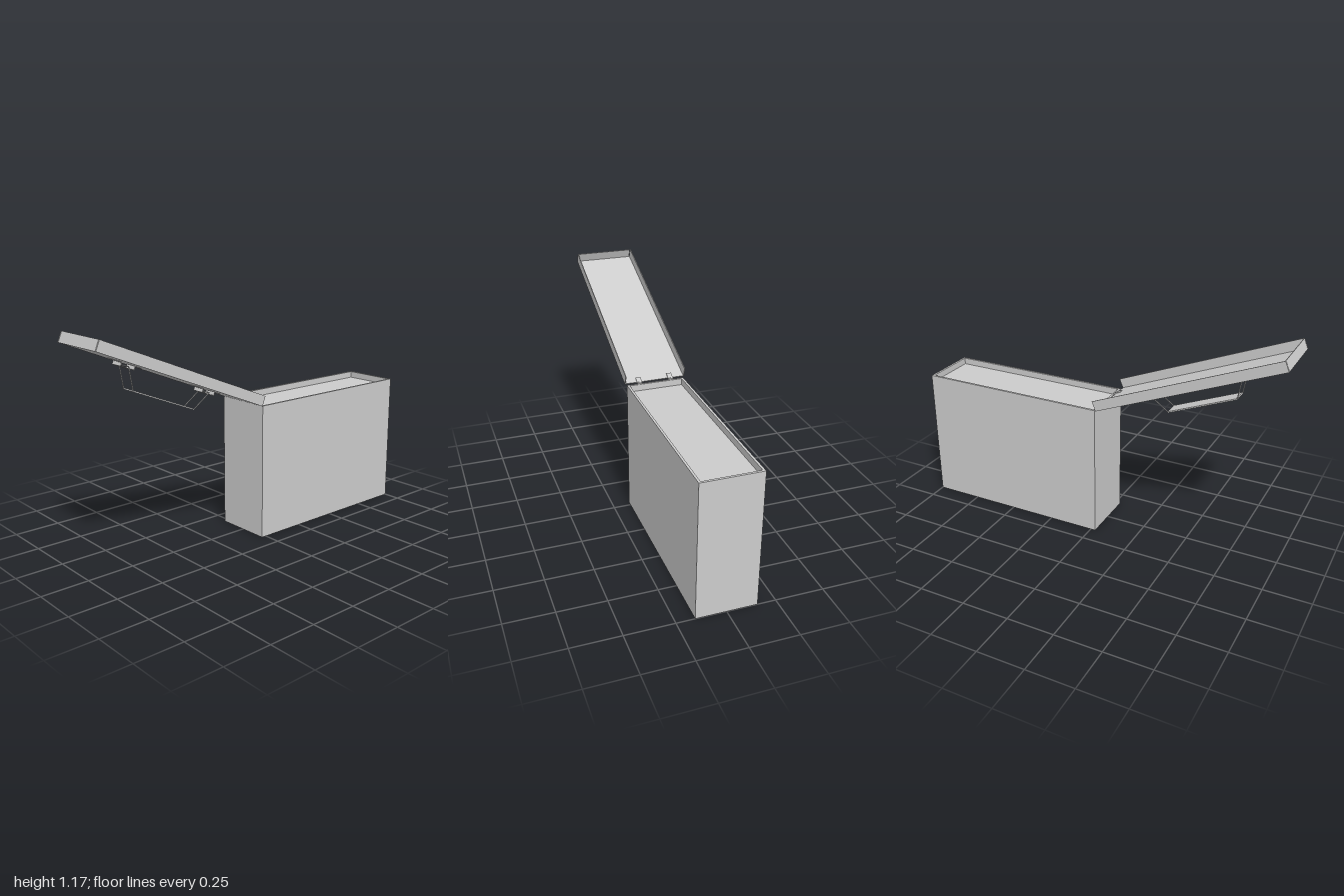
import * as THREE from 'three';

const grey = new THREE.MeshStandardMaterial({ color: 0xcccccc, side: THREE.DoubleSide });

function add(parent, name, geometry, x = 0, y = 0, z = 0) {
  const mesh = new THREE.Mesh(geometry, grey);
  mesh.name = name;
  mesh.position.set(x, y, z);
  parent.add(mesh);
  return mesh;
}

const box = (w, h, d) => new THREE.BoxGeometry(w, h, d);

// Closed rectangle centred on the origin
function rectangle(Type, w, d) {
  return new Type([[-w, -d], [w, -d], [w, d], [-w, d]].map(([x, y]) => new THREE.Vector2(x / 2, y / 2)));
}

// Thin round rod between two points
function rod(parent, name, a, b, radius) {
  const path = new THREE.LineCurve3(new THREE.Vector3(...a), new THREE.Vector3(...b));
  return add(parent, name, new THREE.TubeGeometry(path, 1, radius, 8));
}

function makeCan() {
  const can = new THREE.Group();
  can.name = 'can';
  const length = 1.027, depth = 0.312, height = 0.725, wall = 0.012;
  can.position.x = 1 - length / 2;

  // Upright walls as one extruded frame
  const outline = rectangle(THREE.Shape, length, depth);
  outline.holes.push(rectangle(THREE.Path, length - 2 * wall, depth - 2 * wall));
  const walls = new THREE.ExtrudeGeometry(outline, { depth: height, bevelEnabled: false });
  walls.rotateX(-Math.PI / 2);
  add(can, 'walls', walls);

  // Bottom and the recessed top panel
  const inside = [length - 2 * wall, 0.01, depth - 2 * wall];
  add(can, 'bottom', box(...inside), 0, 0.005, 0);
  add(can, 'recessedTop', box(...inside), 0, height - 0.04, 0);
  return can;
}

function makeHandle() {
  const handle = new THREE.Group();
  handle.name = 'handle';
  const gripY = -0.115, halfWidth = 0.04;
  const ends = [[-0.772, -0.709], [-0.263, -0.328]]; // clip x, grip end x

  for (const [clipX, gripX] of ends) {
    // Hat-shaped strap that holds the pivot rod against the lid
    add(handle, 'clipRaisedPlate', box(0.078, 0.003, 0.07), clipX, -0.021, 0);
    for (const s of [-1, 1]) {
      add(handle, 'clipFlange', box(0.036, 0.004, 0.07), clipX + s * 0.057, -0.003, 0);
      add(handle, 'clipStep', box(0.003, 0.02, 0.07), clipX + s * 0.039, -0.012, 0);
      rod(handle, 'handleLeg', [clipX, -0.013, s * halfWidth], [gripX, gripY, s * halfWidth], 0.003);
    }
    rod(handle, 'pivotRod', [clipX, -0.013, -halfWidth], [clipX, -0.013, halfWidth], 0.003);
  }

  // Flat grip
  const [a, b] = ends.map((e) => e[1]);
  add(handle, 'grip', box(b - a, 0.007, 2 * halfWidth + 0.006), (a + b) / 2, gripY, 0);
  return handle;
}

function makeLid() {
  const lid = new THREE.Group();
  lid.name = 'lid';
  // Swung open about its hinge edge, with its inside facing up
  lid.position.set(-0.037, 0.727, 0);
  lid.rotation.z = -THREE.MathUtils.degToRad(22.3);
  const length = 1.04, depth = 0.33, lip = 0.055, sheet = 0.004;

  add(lid, 'lidPanel', box(length, sheet, depth), -length / 2, sheet / 2, 0);
  for (const s of [-1, 1]) {
    add(lid, 'sideLip', box(length, lip, sheet), -length / 2, lip / 2, s * (depth - sheet) / 2);
  }
  add(lid, 'endLip', box(sheet, lip, depth - 0.014), -length + sheet / 2, lip / 2, 0);
  lid.add(makeHandle());
  return lid;
}

// Two small hinges between lid and can
function makeHinge(z) {
  const hinge = new THREE.Group();
  hinge.name = 'hinge';
  hinge.position.set(-0.031, 0.73, z);
  const barrel = add(hinge, 'hingeBarrel', new THREE.CylinderGeometry(0.005, 0.005, 0.026, 12));
  barrel.rotation.x = Math.PI / 2;
  const leaf = add(hinge, 'lidLeaf', box(0.032, 0.004, 0.026), -0.015, 0.009, 0);
  leaf.rotation.z = -THREE.MathUtils.degToRad(22.3);
  add(hinge, 'canLeaf', box(0.014, 0.004, 0.026), 0.006, -0.003, 0);
  return hinge;
}

export function createModel() {
  const model = new THREE.Group();
  model.name = 'hingedCan';
  model.add(makeCan(), makeLid(), makeHinge(0.086), makeHinge(-0.086));
  return model;
}
